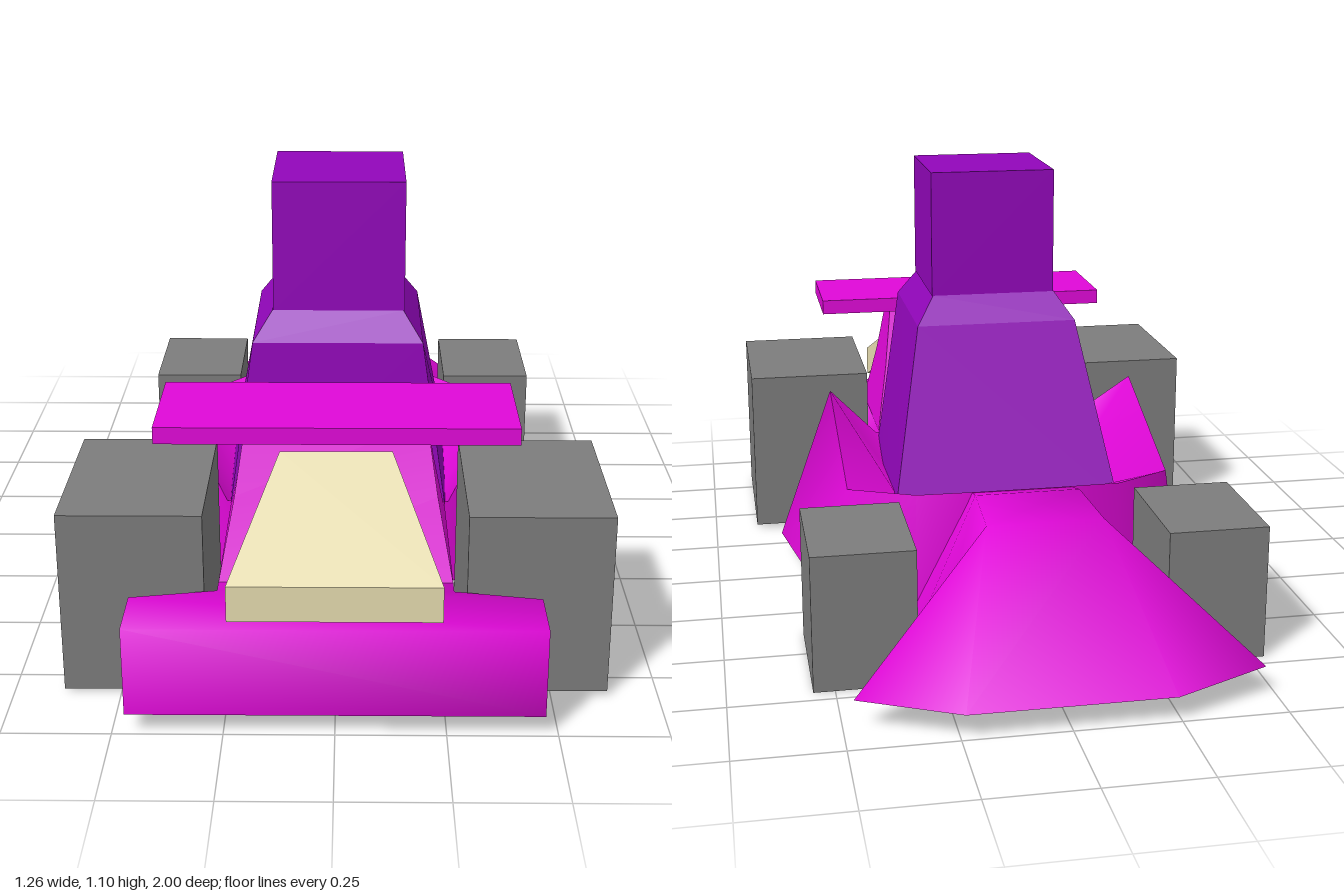
import * as THREE from 'three';
import { toCreasedNormals } from 'three/addons/utils/BufferGeometryUtils.js';

const material = (name, color) => {
  const m = new THREE.MeshStandardMaterial({ color, side: THREE.DoubleSide });
  m.name = name;
  return m;
};

// Skin over rings of [x, y, z] points; optional flat caps on the end rings.
// The quads of the two halves are split in mirrored directions.
function loft(rings, { closed = true, caps = [false, false], crease = 0.5 } = {}) {
  const pos = [];
  const tri = (a, b, c) => pos.push(...a, ...b, ...c);
  for (let r = 0; r < rings.length - 1; r++) {
    const A = rings[r], B = rings[r + 1], n = A.length;
    for (let i = 0; i < (closed ? n : n - 1); i++) {
      const j = (i + 1) % n;
      if (i < n / 2) {
        tri(A[i], A[j], B[i]);
        tri(A[j], B[j], B[i]);
      } else {
        tri(A[i], A[j], B[j]);
        tri(A[i], B[j], B[i]);
      }
    }
  }
  const cap = (ring, flip) => {
    for (let i = 1; i < ring.length - 1; i++) {
      if (flip) tri(ring[0], ring[i + 1], ring[i]);
      else tri(ring[0], ring[i], ring[i + 1]);
    }
  };
  if (caps[0]) cap(rings[0], true);
  if (caps[1]) cap(rings[rings.length - 1], false);
  const g = new THREE.BufferGeometry();
  g.setAttribute('position', new THREE.Float32BufferAttribute(pos, 3));
  return toCreasedNormals(g, crease);
}

// Complete a half ring (+x side) with its mirror image.
const mirrorRing = (half, s = 1) =>
  [...half, ...half.slice().reverse().map(([x, y, z]) => [-x * s, y, z])];

// Rectangular ring; front and back edges have their own height and half width.
const rectRing = (wf, yf, zf, wb, yb, zb) =>
  [[wf, yf, zf], [wb, yb, zb], [-wb, yb, zb], [-wf, yf, zf]];

export function createModel() {
  const group = new THREE.Group();
  const pink = material('magenta', 0xe008d8);
  const purple = material('purple', 0x9206ba);
  const tan = material('tan', 0xe4daae);
  const grey = material('grey', 0x7c7c7c);

  const add = (name, geometry, mat) => {
    const mesh = new THREE.Mesh(geometry, mat);
    mesh.name = name;
    group.add(mesh);
  };
  const box = (name, mat, x0, x1, y0, y1, z0, z1) => {
    const g = new THREE.BoxGeometry(x1 - x0, y1 - y0, z1 - z0);
    g.translate((x0 + x1) / 2, (y0 + y1) / 2, (z0 + z1) / 2);
    add(name, g, mat);
  };

  // Wheels
  box('frontWheelLeft', grey, 0.3, 0.632, 0.01, 0.455, 0.385, 0.827);
  box('frontWheelRight', grey, -0.632, -0.3, 0.01, 0.455, 0.385, 0.827);
  box('rearWheelLeft', grey, 0.305, 0.551, 0.0, 0.335, -0.712, -0.385);
  box('rearWheelRight', grey, -0.54, -0.295, 0.0, 0.335, -0.712, -0.385);

  // Side pods: flared skirt, rim, then a bowl sinking towards the seat
  const skirt = [[0.12, 0.05, -0.41], [0.27, 0.05, -0.38], [0.49, 0.05, -0.27],
    [0.57, 0.05, 0.2], [0.28, 0.05, 0.37]];
  const rim = [[0.11, 0.36, -0.415], [0.26, 0.345, -0.37], [0.42, 0.325, -0.24],
    [0.425, 0.47, 0.17], [0.28, 0.28, 0.37]];
  const bowl = [[0.1, 0.27, -0.2], [0.2, 0.27, -0.2], [0.275, 0.26, -0.18],
    [0.27, 0.23, 0.17], [0.265, 0.26, 0.355]];
  add('sidePods', loft([mirrorRing(skirt, 0.925), mirrorRing(rim), mirrorRing(bowl)],
    { caps: [false, true], crease: 1.2 }), pink);

  // Tail: arched cover that flares out to a flat trailing edge
  const arch = (b, yb, zb, t, yt, zt) => mirrorRing([[b, yb, zb], [t, yt, zt]]);
  add('tail', loft([
    arch(0.27, 0.05, -0.36, 0.125, 0.354, -0.4),
    arch(0.27, 0.05, -0.48, 0.13, 0.375, -0.48),
    arch(0.27, 0.05, -0.73, 0.14, 0.375, -0.69),
    arch(0.475, 0.07, -0.905, 0.24, 0.06, -1.0),
  ], { closed: false, crease: 3 }), pink);

  // Front chassis and wide bumper, open underneath
  add('frontChassis', loft([
    arch(0.27, 0.05, 0.36, 0.27, 0.28, 0.36),
    arch(0.27, 0.05, 0.83, 0.27, 0.27, 0.83),
    arch(0.47, 0.05, 0.855, 0.47, 0.265, 0.855),
    arch(0.47, 0.05, 1.0, 0.47, 0.265, 1.0),
  ], { closed: false, caps: [false, true], crease: 1.8 }), pink);

  // Wing with its tapered support
  add('wingSupport', loft([
    rectRing(0.27, 0.27, 0.79, 0.27, 0.27, 0.39),
    rectRing(0.235, 0.45, 0.71, 0.235, 0.45, 0.475),
    rectRing(0.21, 0.615, 0.65, 0.21, 0.615, 0.55),
  ], { crease: 1.2 }), pink);
  box('wing', pink, -0.41, 0.414, 0.61, 0.65, 0.495, 0.78);

  // Sloping nose panel
  const end = (w, y0, y1, z) => [[w, y0, z], [w, y1, z], [-w, y1, z], [-w, y0, z]];
  add('nosePanel', loft([end(0.13, 0.46, 0.555, 0.69), end(0.237, 0.285, 0.37, 1.0)],
    { caps: [true, true], crease: 0.1 }), tan);

  // Driver: tapered torso with sloping shoulders and a square head
  add('torso', loft([
    rectRing(0.28, 0.215, 0.368, 0.295, 0.25, -0.225),
    rectRing(0.21, 0.7, 0.355, 0.21, 0.7, -0.065),
    rectRing(0.162, 0.77, 0.31, 0.162, 0.77, -0.018),
  ], { crease: 0.2 }), purple);
  box('head', purple, -0.16, 0.165, 0.77, 1.095, -0.018, 0.31);

  return group;
}
